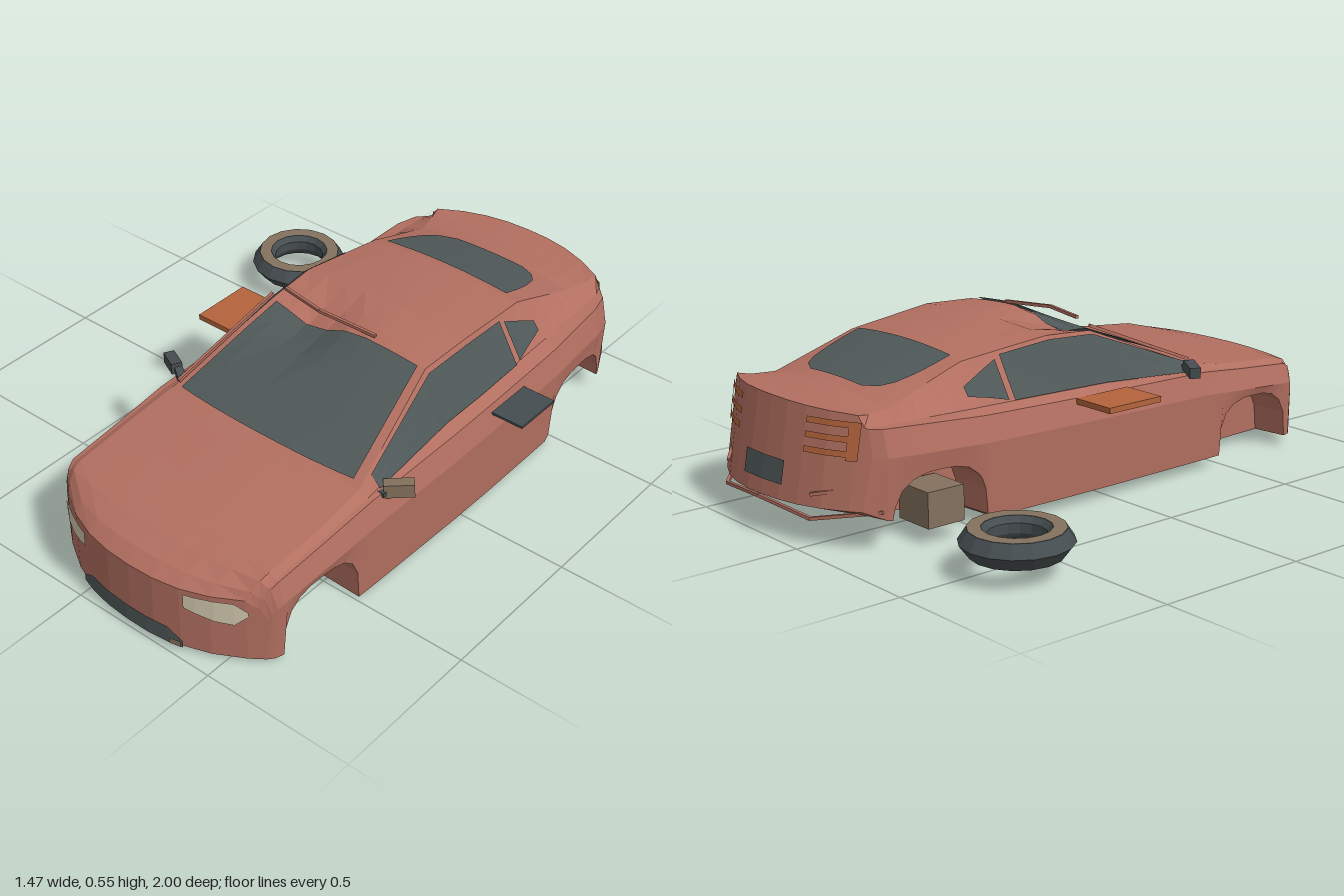
import * as THREE from 'three';

const mat = (name, color) => Object.assign(new THREE.MeshStandardMaterial({ color, side: THREE.DoubleSide }), { name });
const paint = mat('body paint', 0xb26f60);
const glass = mat('dark glass', 0x4f5858);
const lens = mat('headlight lens', 0xd0c6ac);
const orange = mat('orange', 0xb4633c);
const rubber = mat('rubber', 0x464d50);
const brown = mat('dusty brown', 0x84715d);

const CX = 0.2; // the car stands off centre

// Stations: z, half width, floor y, shoulder y, roof half width, roof edge y, roof centre y, bow
const STATIONS = [
  [.992, .395, .005, .20, .345, .225, .225, .145],
  [.95, .403, .005, .23, .35, .25, .26, .11],
  [.88, .412, .005, .26, .36, .278, .287, .05],
  [.81, .42, .005, .275, .365, .29, .30, 0],
  [.6, .427, 0, .295, .37, .31, .325, 0],
  [.42, .433, 0, .315, .365, .335, .345, 0],
  [.03, .44, 0, .325, .295, .505, .522, 0],
  [-.15, .44, 0, .33, .30, .512, .53, 0],
  [-.46, .435, 0, .338, .28, .478, .496, 0],
  [-.5, .434, .03, .34, .28, .465, .484, 0],
  [-.74, .42, .05, .355, .29, .385, .408, 0],
  [-.815, .4, .065, .355, .31, .385, .40, 0],
  [-.935, .37, .1, .355, .32, .394, .404, -.11],
];
const ARCHES = [[.645, .19], [-.64, .2]], ARCH_R = .16;
const lerp = THREE.MathUtils.lerp;
const curve = (x, hw) => Math.abs(x / hw) ** 2.4; // rounding of nose and tail in plan

function station(z) {
  for (let i = 1; i < STATIONS.length; i++) {
    const a = STATIONS[i - 1], b = STATIONS[i];
    if (z >= b[0] - 1e-6) return a.map((v, k) => lerp(v, b[k], (a[0] - z) / (a[0] - b[0])));
  }
  return STATIONS.at(-1);
}

// Crash damage: dented roof corner, and the right side sits higher
function warp(x, y, z) {
  const dent = .055 * Math.exp(-(((x - .07) / .11) ** 2) - ((z - .05) / .13) ** 2);
  const tilt = .035 * Math.max(0, 1 - y / .4) * (.63 - x) / .87;
  return [x, y - (y > .38 ? dent : 0) + tilt, z];
}

// Foot of the side windows
const belt = ([, hw, , ys, xr, yr]) => [lerp(hw * .95, xr, .35), lerp(ys, yr, .1)];
const US = [0, .25, .5, .75, 1], N = US.length;

// One closed cross-section, from floor centre round the left side, the top and the right side
function ring(z0) {
  const st = station(z0), [z, hw, yb, ys, xr, yr, yc, bow] = st;
  let arch = yb;
  for (const [c, h] of ARCHES) {
    const t = Math.abs(z - c) / ARCH_R;
    if (t < 1) arch = Math.max(yb, h * Math.cbrt(1 - t ** 3));
  }
  const yw = Math.max(.75 * ys, arch + .02);
  const xi = Math.abs(z) > .809 ? hw * .88 : .28;
  const half = US.map(u => [u * xi, yb]);
  half.push([xi, arch], [hw * .98, arch], [hw, yw], [hw * .95, ys], belt(st));
  for (const u of [...US].reverse()) half.push([u * xr, lerp(yr, yc, 1 - u * u)]);
  const all = [...half, ...half.slice(1, -1).reverse().map(([x, y]) => [-x, y])];
  const bumper = y => (z < -.9 ? .05 * Math.max(0, .395 - y) / .295 : 0);
  return all.map(([x, y]) => warp(CX + x, y, z - bow * curve(x, hw) - bumper(y)));
}

// Faceted geometry from a list of quads
function quads(list) {
  const p = [];
  for (const [a, b, c, d] of list) p.push(...a, ...b, ...c, ...a, ...c, ...d);
  const g = new THREE.BufferGeometry();
  g.setAttribute('position', new THREE.Float32BufferAttribute(p, 3));
  g.computeVertexNormals();
  return g;
}

function bodyShell() {
  const zs = STATIONS.map(s => s[0]).concat([.29, .16, .09, -.05, -.3, -.59]);
  for (const [c] of ARCHES) for (let k = 0; k <= 10; k++) zs.push(c + ARCH_R * Math.cos(k * Math.PI / 10));
  zs.sort((a, b) => b - a);
  const rings = zs.map(ring), out = [], n = rings[0].length;
  for (let s = 1; s < rings.length; s++) {
    const A = rings[s - 1], B = rings[s];
    for (let i = 0; i < n; i++) {
      const j = (i + 1) % n;
      out.push([A[i], B[i], B[j], A[j]]);
    }
  }
  // Nose and tail faces
  const top = n / 2;
  const cap = (R, flip) => {
    const at = i => R[(i + n) % n];
    for (const s of [1, -1]) {
      const face = (...ids) => {
        const q = ids.map(i => at(s * i));
        out.push((s < 0) !== flip ? q.reverse() : q);
      };
      for (let k = 0; k < N - 1; k++) face(k, k + 1, top - k - 1, top - k);
      face(N - 1, N + 1, N + 2, N + 3);
      face(N - 1, N + 3, N + 4, N + 5);
    }
  };
  cap(rings[0], false);
  cap(rings.at(-1), true);
  return quads(out);
}

// Thin sheet following a rule over rows and columns
function sheet(rows, cols, fn) {
  const out = [];
  for (let i = 1; i < rows.length; i++) for (let j = 1; j < cols.length; j++)
    out.push([fn(rows[i - 1], cols[j - 1]), fn(rows[i], cols[j - 1]), fn(rows[i], cols[j]), fn(rows[i - 1], cols[j])]);
  return quads(out);
}

const onTop = (u, z) => {
  const [, , , , xr, yr, yc] = station(z);
  const [x, y] = warp(CX + u * xr, lerp(yr, yc, 1 - u * u), z);
  return [x, y + .008, z];
};
const onSide = (s, v, z) => {
  const st = station(z), [bx, by] = belt(st);
  const [x, y] = warp(CX + s * lerp(bx, st[4], v), lerp(by, st[5], v), z);
  return [x + s * .007, y + .003, z];
};
const onNose = (x, y) => warp(x, y, .999 - .145 * curve(x - CX, .395));
const onTail = (x, y) => warp(x, y, -.942 + .11 * curve(x - CX, .37) - .05 * (.395 - y) / .295);

export function createModel() {
  const g = new THREE.Group();
  g.name = 'wreckedCar';
  const add = (name, geo, m, pos = [0, 0, 0], rot = [0, 0, 0]) => {
    const mesh = new THREE.Mesh(geo, m);
    mesh.name = name;
    mesh.position.set(...pos);
    mesh.rotation.set(...rot);
    g.add(mesh);
    return mesh;
  };
  const box = (name, size, m, pos, rot) => add(name, new THREE.BoxGeometry(...size), m, pos, rot);
  const bar = (name, a, b, t, m) => {
    const A = new THREE.Vector3(...a), B = new THREE.Vector3(...b);
    box(name, [t, t, A.distanceTo(B)], m, A.clone().lerp(B, .5).toArray()).lookAt(B);
  };

  add('bodyShell', bodyShell(), paint);

  // Windows, the windscreen foot bowed forward
  const cols = [-1, -.83, -.56, -.28, 0, .28, .56, .83, 1];
  add('windscreen', sheet([.41, .29, .16, .09, .04], cols, (z, c) => onTop(c * .92, z > .4 ? z + .02 * (1 - c * c) : z)), glass);
  const rearZ = [-.465, -.53, -.59, -.65, -.69, -.715], rearWidth = [.84, .83, .8, .74, .64, .45];
  add('rearWindow', sheet(rearZ, cols, (z, c) => onTop(c * rearWidth[rearZ.indexOf(z)], z)), glass);
  for (const s of [1, -1]) {
    add('sideWindow', sheet([.37, .29, .16, .09, .03, -.05, -.15, -.3, -.335], [0, .5, .92], (z, v) => onSide(s, v, z)), glass);
    add('quarterWindow', sheet([-.355, -.42, -.49], [0, 1], (z, t) => {
      const k = (-.355 - z) / .135;
      return onSide(s, lerp(lerp(.03, .28, k), lerp(.86, .52, k), t), z);
    }), glass);
  }

  // Nose details
  const t5 = [0, .2, .5, .8, 1], lowEdge = [.165, .155, .14, .135, .17];
  for (const s of [1, -1]) add('headlight', sheet(t5, [0, 1], (t, v) =>
    onNose(CX + s * lerp(.19, .355, t), lerp(lowEdge[t5.indexOf(t)], t < 1 ? .215 : .185, v))), lens);
  add('lowerGrille', sheet([0, .12, .3, .5, .7, .88, 1], [0, 1], (t, v) =>
    onNose(lerp(-.01, .385, t), lerp(.006, t % 1 ? .066 : .03, v))), glass);
  add('grilleDebris', sheet([.345, .38], [.008, .028], (x, y) => {
    const p = onNose(x, y);
    return [p[0], p[1], p[2] + .003];
  }), brown);

  // Tail details
  add('plateRecess', sheet([.1, .2, .3], [.15, .225], onTail), glass);
  for (const s of [1, -1]) {
    for (const y of [.265, .31, .355]) add('tailLightBar', sheet([.17, .25, .32], [y, y + .019], (x, yy) => onTail(CX + s * x, yy)), orange);
    add('tailLightEnd', sheet([.305, .338], [.255, .31, .374], (x, yy) => onTail(CX + s * x, yy)), orange);
  }

  // Torn trim hanging from the rear bumper and lying along the roof
  const strips = [
    [[-.19, .12, -.83], [0, .08, -.95]], [[0, .08, -.95], [.2, .11, -.994]], [[.2, .11, -.994], [.45, .08, -.95]],
    [[.45, .08, -.95], [.58, .12, -.82]], [[-.19, .2, -.82], [-.02, .16, -.96]], [[.42, .16, -.96], [.58, .22, -.82]],
    [[-.06, .538, .01], [.1, .541, .04]], [[.1, .541, .04], [.3, .528, .02]],
    [[-.155, .36, .4], [-.095, .515, .03]],
  ];
  for (const [a, b] of strips) bar('tornTrim', a, b, .01, paint);

  // Mirrors
  box('leftMirror', [.09, .045, .035], brown, [.637, .32, .33], [0, .7, .05]);
  box('leftMirrorArm', [.06, .015, .03], rubber, [.59, .312, .365]);
  box('rightMirror', [.08, .035, .035], rubber, [-.24, .352, .335], [0, -.5, .1]);
  box('rightMirrorArm', [.08, .02, .025], rubber, [-.185, .342, .36], [0, -.5, -.4]);

  // Loose panels and block
  box('orangePanel', [.15, .018, .21], orange, [-.295, .327, -.028]);
  box('darkPanel', [.135, .008, .17], rubber, [.667, .302, -.228]);
  box('looseBlock', [.14, .11, .13], brown, [-.158, .105, -.635]);

  // Loose tyre
  const profile = [[.09, .08], [.105, .06], [.135, .06], [.165, .1], [.14, .138], [.1, .138], [.085, .12], [.085, .09], [.09, .08]];
  const tyre = new THREE.LatheGeometry(profile.map(p => new THREE.Vector2(...p)), 16).toNonIndexed();
  tyre.computeVertexNormals();
  add('looseTyre', tyre, rubber, [-.57, 0, -.655]);
  const wall = new THREE.RingGeometry(.1, .14, 16).rotateX(-Math.PI / 2).rotateY(Math.PI / 2);
  add('tyreSidewall', wall, brown, [-.57, .14, -.655]);
  return g;
}
